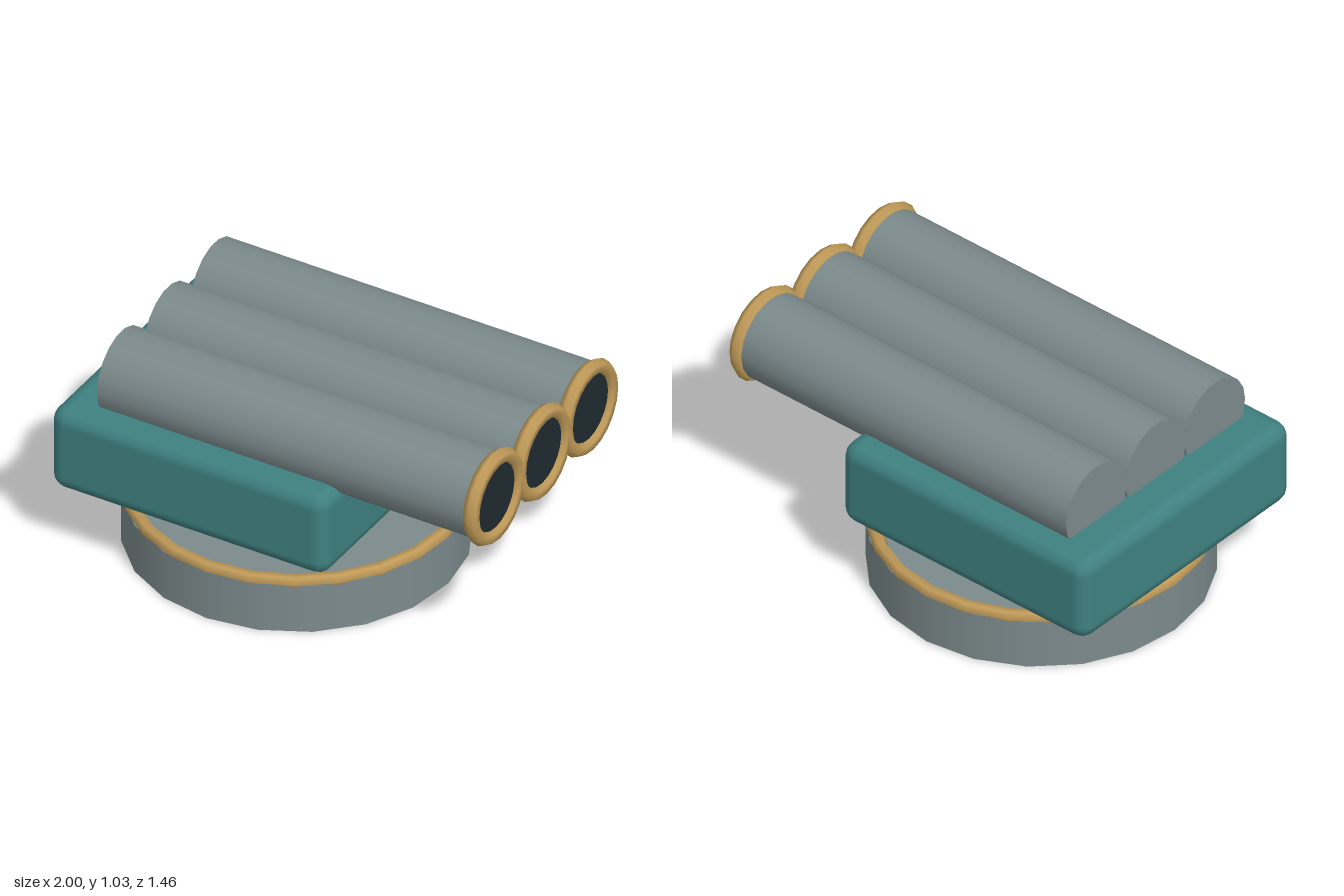
import * as THREE from 'three';
import { RoundedBoxGeometry } from 'three/addons/geometries/RoundedBoxGeometry.js';

const paint = (color) => new THREE.MeshStandardMaterial({ color });

export function createModel() {
  const group = new THREE.Group();
  const steel = paint(0x7c8a8c), teal = paint(0x3f8080);
  const brass = paint(0xc09a58), dark = paint(0x1e2a30);

  const add = (name, geometry, material, x, y, z, parent = group) => {
    const mesh = new THREE.Mesh(geometry, material);
    mesh.name = name;
    mesh.position.set(x, y, z);
    parent.add(mesh);
    return mesh;
  };

  // Round base with a brass rim
  add('base', new THREE.CylinderGeometry(0.727, 0.727, 0.23, 20), steel, -0.2, 0.115, 0);
  add('baseRim', new THREE.TorusGeometry(0.697, 0.031, 6, 24).rotateX(Math.PI / 2), brass, -0.2, 0.234, 0);

  // Rounded housing floating above the base
  add('housing', new RoundedBoxGeometry(1.33, 0.4, 1.33, 2, 0.07), teal, -0.335, 0.53, 0);

  // Three barrels side by side, pointing along +x
  const cylinder = (r, length) => new THREE.CylinderGeometry(r, r, length, 18).rotateZ(-Math.PI / 2);
  const tube = cylinder(0.193, 1.79);
  const bore = cylinder(0.155, 0.05);
  const ring = new THREE.TorusGeometry(0.182, 0.034, 6, 20).rotateY(Math.PI / 2);
  for (const z of [-0.375, 0, 0.375]) {
    const barrel = new THREE.Group();
    barrel.name = 'barrel';
    barrel.position.set(0, 0.815, z);
    group.add(barrel);
    add('tube', tube, steel, 0.075, 0, 0, barrel);
    add('muzzleRing', ring, brass, 0.97, 0, 0, barrel);
    add('bore', bore, dark, 0.953, 0, 0, barrel);
  }
  return group;
}
